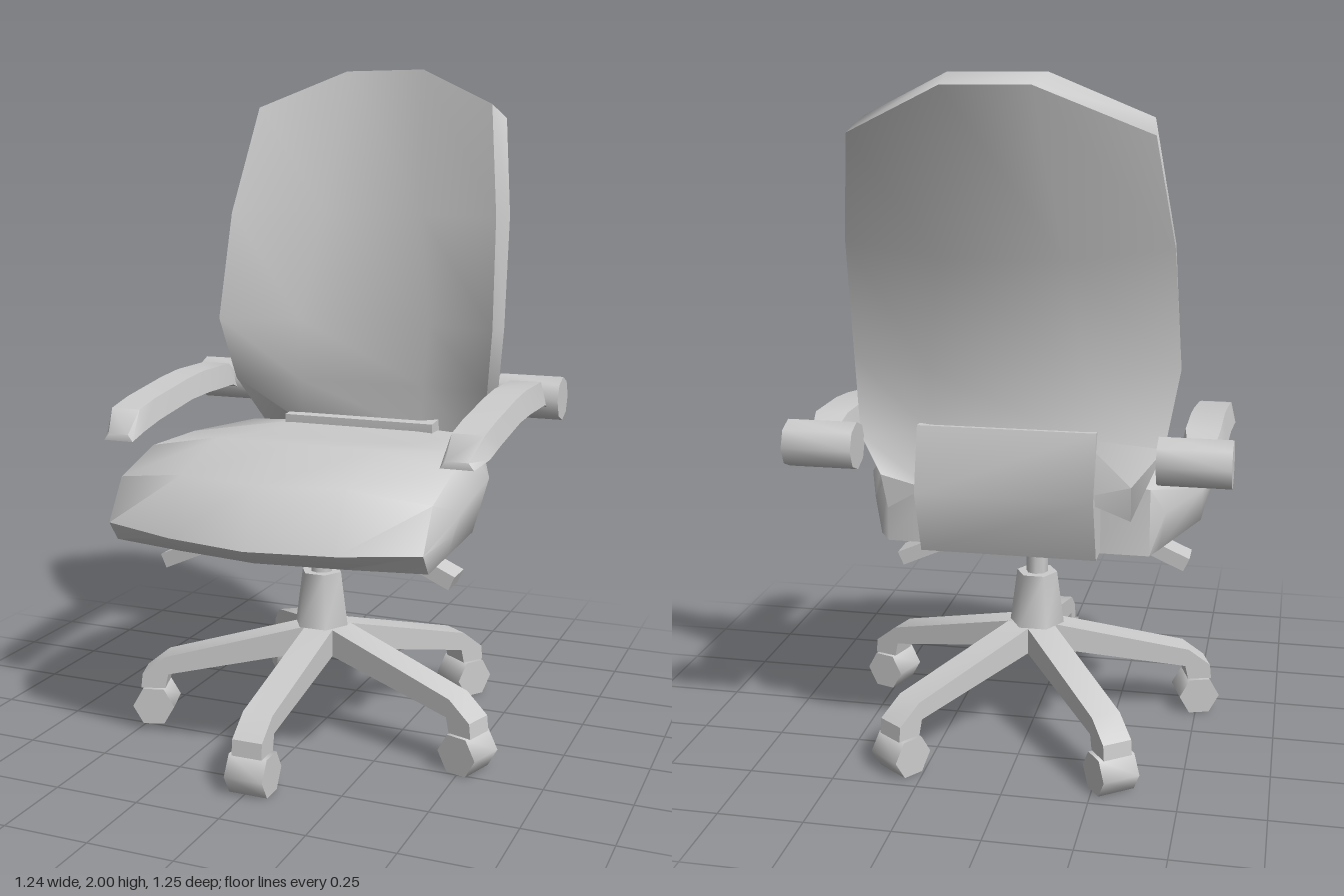
import * as THREE from 'three';
import { toCreasedNormals } from 'three/addons/utils/BufferGeometryUtils.js';

const material = new THREE.MeshStandardMaterial({ color: 0xcccccc });

function part(name, geometry, parent, x = 0, y = 0, z = 0) {
  const mesh = new THREE.Mesh(geometry, material);
  mesh.name = name;
  mesh.position.set(x, y, z);
  parent.add(mesh);
  return mesh;
}

// Skin a row of equal-length closed rings; end caps pair point j with point n-1-j
function loft(rings, crease) {
  const n = rings[0].length;
  const points = rings.flat();
  const tris = [];
  const quad = (a, b, c, d) => tris.push(a, b, c, a, c, d);
  for (let i = 0; i < rings.length - 1; i++) {
    for (let j = 0; j < n; j++) {
      const k = (j + 1) % n;
      quad(i * n + j, i * n + k, (i + 1) * n + k, (i + 1) * n + j);
    }
  }
  const last = (rings.length - 1) * n;
  for (let j = 0; j < n / 2 - 1; j++) {
    quad(j, n - 1 - j, n - 2 - j, j + 1);
    quad(last + j, last + j + 1, last + n - 2 - j, last + n - 1 - j);
  }
  // turn the skin outward if the rings run the other way round
  const v = points.map((p) => new THREE.Vector3(...p));
  let volume = 0;
  for (let t = 0; t < tris.length; t += 3) {
    volume += v[tris[t]].dot(v[tris[t + 1]].clone().cross(v[tris[t + 2]]));
  }
  if (volume < 0) tris.reverse();
  const g = new THREE.BufferGeometry();
  g.setAttribute('position', new THREE.Float32BufferAttribute(points.flat(), 3));
  g.setIndex(tris);
  return toCreasedNormals(g, crease);
}

// Flat outline extruded to a width, centred on its own plane
function slab(outline, width) {
  const shape = new THREE.Shape(outline.map(([x, y]) => new THREE.Vector2(x, y)));
  const g = new THREE.ExtrudeGeometry(shape, { depth: width, bevelEnabled: false });
  return toCreasedNormals(g.translate(0, 0, -width / 2), 0.7);
}

// Smooth-sided cylinder with few sides
function drum(top, bottom, height, sides) {
  return toCreasedNormals(new THREE.CylinderGeometry(top, bottom, height, sides), 1.1);
}

function rod(a, b, radius) {
  const from = new THREE.Vector3(...a), to = new THREE.Vector3(...b);
  const dir = to.clone().sub(from);
  const g = drum(radius, radius, dir.length(), 6);
  g.applyQuaternion(new THREE.Quaternion().setFromUnitVectors(
    new THREE.Vector3(0, 1, 0), dir.normalize()));
  const mid = from.add(to).multiplyScalar(0.5);
  return g.translate(mid.x, mid.y, mid.z);
}

function createBase() {
  const base = new THREE.Group();
  base.name = 'base';
  base.position.set(0.01, 0, 0.03);
  const legOutline = [[0, 0.32], [0.06, 0.32], [0.495, 0.21], [0.565, 0.155], [0.57, 0.11],
    [0.495, 0.11], [0.485, 0.155], [0.05, 0.24], [0, 0.24]];
  for (let i = 0; i < 5; i++) {
    const leg = new THREE.Group();
    leg.name = 'leg' + (i + 1);
    leg.rotation.y = -Math.PI / 2 + (i * Math.PI * 2) / 5;
    part('legArm', slab(legOutline, 0.09), leg);
    // hexagonal caster with a flat top and bottom
    const wheel = drum(0.064, 0.064, 0.115, 6).rotateY(Math.PI / 2).rotateX(Math.PI / 2);
    part('caster', wheel, leg, 0.53, 0.055, 0);
    base.add(leg);
  }
  part('hub', drum(0.063, 0.085, 0.165, 6).rotateY(Math.PI / 2), base, -0.015, 0.4025, 0);
  part('column', drum(0.034, 0.034, 0.2, 8), base, -0.015, 0.565, 0);
  return base;
}

// Seat cushion: side profiles stepped across the width, narrowing at the rear
function seatGeometry() {
  const middle = [[0.49, 0.845], [0.22, 0.91], [-0.04, 0.88], [-0.31, 0.88],
    [-0.31, 0.675], [0.1, 0.65], [0.5, 0.63], [0.57, 0.68]];
  const shoulder = [[0.39, 0.81], [0.2, 0.868], [-0.04, 0.87], [-0.31, 0.87],
    [-0.31, 0.675], [0.1, 0.645], [0.42, 0.63], [0.465, 0.69]];
  // the third value draws the lower edge of the rim inward
  const rim = [[0.27, 0.77], [0.16, 0.79], [-0.04, 0.8], [-0.29, 0.8],
    [-0.29, 0.69, 0.96], [0.08, 0.665, 0.95], [0.31, 0.655, 0.95], [0.33, 0.72, 0.99]];
  const half = middle.map(([z, y], i) => [(z * 0.55 + shoulder[i][0] * 0.45), y]);
  const stations = [[-0.52, rim], [-0.475, shoulder], [-0.25, half], [0, middle],
    [0.25, half], [0.475, shoulder], [0.52, rim]];
  return loft(stations.map(([x, profile]) => profile.map(([z, y, inset = 1]) => {
    const narrow = z < 0 ? 1 + z * 0.65 : 1;
    return [x * narrow * inset, y, z];
  })), 0.98);
}

// Curved back shell: each row gives [x, y, z] of
// front wing, front middle, rear middle and rear wing
function backGeometry() {
  const rows = [
    [[0.39, 1.885, -0.37], [0.13, 2, -0.485], [0.115, 1.97, -0.63], [0.405, 1.845, -0.485]],
    [[0.44, 1.55, -0.26], [0.17, 1.55, -0.36], [0.17, 1.52, -0.455], [0.45, 1.55, -0.38]],
    [[0.455, 1.215, -0.19], [0.22, 1.21, -0.293], [0.22, 1.2, -0.38], [0.465, 1.21, -0.285]],
    [[0.425, 1.015, -0.25], [0.21, 1.02, -0.272], [0.21, 1.03, -0.4], [0.43, 1.0, -0.355]],
    [[0.345, 0.8, -0.39], [0.2, 0.87, -0.29], [0.2, 0.87, -0.43], [0.35, 0.91, -0.435]],
  ];
  const flip = ([x, y, z]) => [-x, y, z];
  return loft(rows.map(([fw, fm, rm, rw]) =>
    [flip(fw), flip(fm), fm, fw, rw, rm, flip(rm), flip(rw)]), 0.95);
}

function createArm(side) {
  const arm = new THREE.Group();
  arm.name = side > 0 ? 'leftArm' : 'rightArm';
  // z, top, bottom, inner and outer edge of the pad
  const stations = [[0.35, 0.925, 0.905, 0.47, 0.565], [0.285, 0.99, 0.925, 0.467, 0.59],
    [0.19, 1.01, 0.945, 0.467, 0.592], [-0.02, 1.04, 0.975, 0.467, 0.592],
    [-0.13, 1.05, 0.98, 0.467, 0.592], [-0.31, 1.05, 0.98, 0.467, 0.592],
    [-0.38, 1.015, 0.96, 0.48, 0.58]];
  part('armPad', loft(stations.map(([z, top, bottom, a, b]) => [
    [side * (a + 0.015), top, z], [side * (b - 0.015), top, z],
    [side * b, bottom, z], [side * a, bottom, z]]), 0.9), arm);
  const pivot = drum(0.068, 0.068, 0.2, 8).rotateZ(Math.PI / 2);
  part('armPivot', pivot, arm, side * 0.52, 0.985, -0.42);
  return arm;
}

// Adjusting lever: thin rod ending in a flat paddle
function createLever(side, tipZ) {
  const lever = new THREE.Group();
  lever.name = side > 0 ? 'leftLever' : 'rightLever';
  lever.position.x = -0.018;
  part('leverRod', rod([side * 0.04, 0.655, 0.035], [side * 0.34, 0.555, tipZ], 0.014), lever);
  const paddle = part('leverPaddle', new THREE.BoxGeometry(0.14, 0.045, 0.09), lever,
    side * 0.38, 0.535, tipZ + 0.008);
  paddle.rotation.z = -side * 0.42;
  return lever;
}

export function createModel() {
  const chair = new THREE.Group();
  chair.name = 'officeChair';
  chair.add(createBase());
  part('seat', seatGeometry(), chair, -0.01, 0, 0);
  part('backrest', backGeometry(), chair);
  // plate joining the seat to the back
  const plate = slab([[0.25, 0.86], [0.25, 0.905], [0.36, 0.915], [0.375, 1.05], [0.41, 1.05],
    [0.455, 0.865], [0.39, 0.68], [0.28, 0.68]], 0.5).rotateY(Math.PI / 2);
  part('backPlate', plate, chair);
  for (const side of [-1, 1]) chair.add(createArm(side));
  chair.add(createLever(1, 0.035), createLever(-1, 0.14));
  return chair;
}
